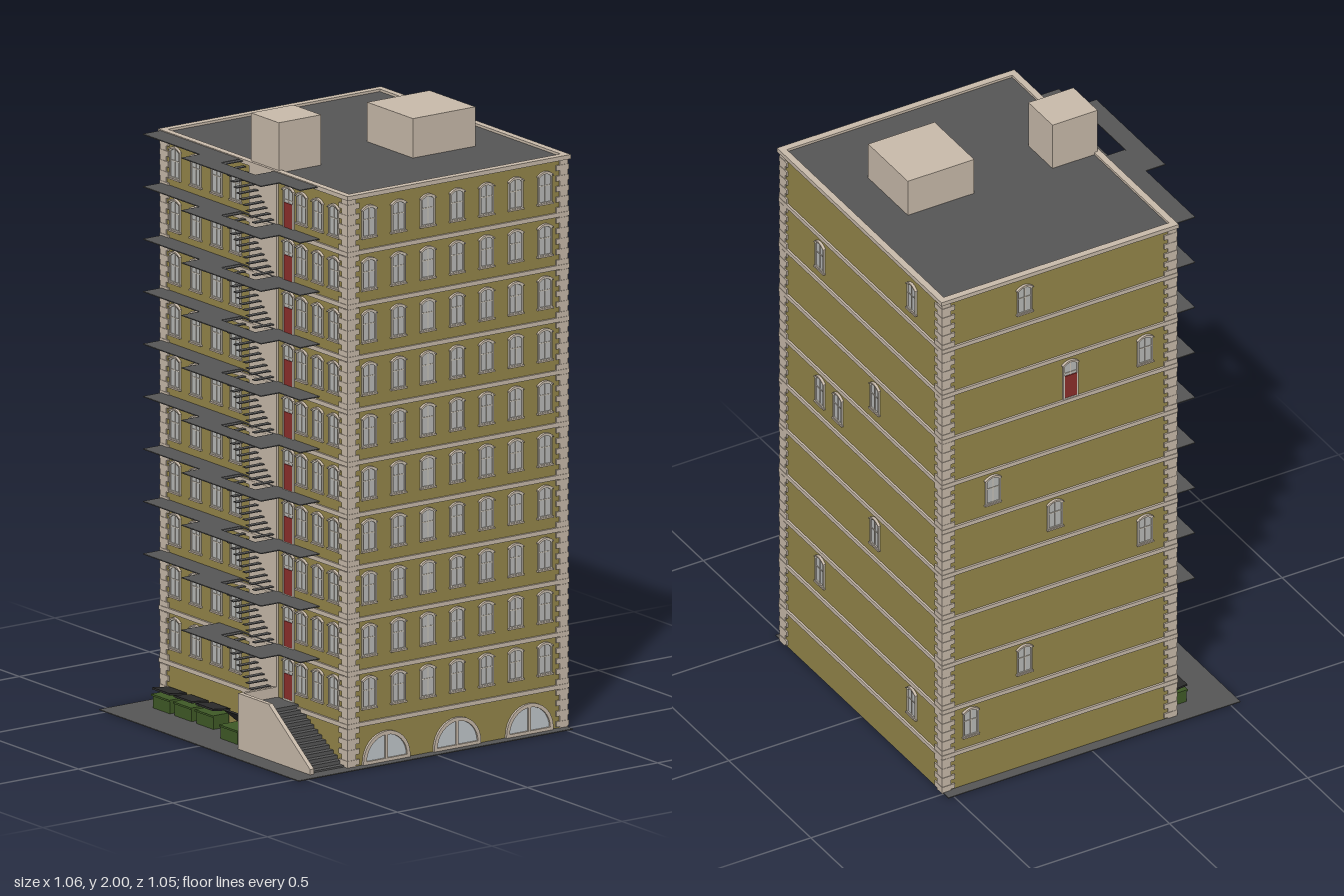
import * as THREE from 'three';
import { mergeGeometries } from 'three/addons/utils/BufferGeometryUtils.js';

const COLORS = { brick: 0x94864a, stone: 0xc8baaa, dark: 0x555555, glass: 0xb9bab8, frame: 0xcdc5b8,
  archGlass: 0xc0c6ca, door: 0x8c2f2b, green: 0x3f5a26, lid: 0x2b2b2b };
const X0 = -0.32, X1 = 0.52, Z0 = -0.494, Z1 = 0.49, H = 1.84;
const CX = (X0 + X1) / 2, CZ = (Z0 + Z1) / 2;
const FLOOR = 0.169, FLOORS = 10;
const windowY = (f) => 0.185 + (f - 1) * 0.1685;   // sill height of floor f
const level = (i) => 0.15 + i * FLOOR;             // fire escape levels

// Box from its minimum and maximum corners
function box(x0, x1, y0, y1, z0, z1) {
  return new THREE.BoxGeometry(x1 - x0, y1 - y0, z1 - z0)
    .translate((x0 + x1) / 2, (y0 + y1) / 2, (z0 + z1) / 2);
}

function extrude(shape, depth) {
  return new THREE.ExtrudeGeometry(shape, { depth, bevelEnabled: false, curveSegments: 8 });
}

// Opening with a slightly arched head, bottom centre at the origin
function archedShape(w, h, inset = 0, Type = THREE.Shape) {
  const a = w / 2 - inset, top = h - 0.009 - inset, s = new Type();
  s.moveTo(-a, inset);
  s.lineTo(a, inset);
  s.lineTo(a, top);
  s.quadraticCurveTo(0, top + 0.018, -a, top);
  s.closePath();
  return s;
}

function halfRing(outer, inner) {
  const s = new THREE.Shape();
  s.absarc(0, 0, outer, 0, Math.PI, false);
  if (inner) s.absarc(0, 0, inner, Math.PI, 0, true);
  s.closePath();
  return s;
}

export function createModel() {
  const model = new THREE.Group();

  // Joins a list of geometries into one named mesh
  function add(name, color, list) {
    const parts = list.map((g) => (g.index ? g.toNonIndexed() : g));
    const mesh = new THREE.Mesh(mergeGeometries(parts),
      new THREE.MeshStandardMaterial({ color: COLORS[color], side: THREE.DoubleSide }));
    mesh.name = name;
    model.add(mesh);
  }

  // Ground, walls, roof
  add('ground', 'dark', [box(-0.535, 0.52, 0, 0.003, -0.53, 0.525)]);
  add('walls', 'brick', [box(X0, X1, 0.002, 1.834, Z0, Z1)]);
  add('roof', 'dark', [box(X0 + 0.01, X1 - 0.01, 1.83, 1.838, Z0 + 0.01, Z1 - 0.01)]);
  add('roofHouses', 'stone', [
    box(-0.318, -0.155, 1.83, 2.0, -0.025, 0.122),
    box(0.125, 0.365, 1.83, 1.965, -0.02, 0.222)]);
  add('liftShaft', 'stone', [box(-0.326, -0.3, 0, 1.835, -0.025, 0.122)]);

  // String courses between floors, and the parapet rim
  const bands = [];
  for (let i = 0; i < FLOORS; i++) {
    const y = 0.136 + i * FLOOR;
    bands.push(box(X0 - 0.007, X1 + 0.007, y - 0.007, y + 0.007, Z0 - 0.007, Z1 + 0.007));
  }
  add('stringCourses', 'stone', bands);
  const rim = new THREE.Shape(), hole = new THREE.Path();
  const rect = (s, x0, x1, z0, z1) => s.moveTo(x0, -z0).lineTo(x1, -z0).lineTo(x1, -z1).lineTo(x0, -z1).closePath();
  rect(rim, X0 - 0.008, X1 + 0.01, Z0 - 0.01, Z1 + 0.01);
  rect(hole, X0 + 0.014, X1 - 0.012, Z0 + 0.014, Z1 - 0.014);
  rim.holes.push(hole);
  add('parapet', 'stone', [extrude(rim, 0.014).rotateX(-Math.PI / 2).translate(0, 1.832, 0)]);

  // Corner quoins: narrow post with wider blocks at a steady pitch
  const quoins = [];
  for (const sx of [-1, 1]) for (const sz of [-1, 1]) {
    const block = (size, out, y0, y1) => {
      const px = sx < 0 ? X0 - out : X1 + out - size, pz = sz < 0 ? Z0 - out : Z1 + out - size;
      quoins.push(box(px, px + size, y0, y1, pz, pz + size));
    };
    block(0.032, 0.004, 0, 1.834);
    for (let y = 0.008; y < 1.81; y += 0.0338) block(0.047, 0.0055, y, y + 0.017);
  }
  add('cornerQuoins', 'stone', quoins);

  // Windows and doors, gathered from all four faces
  const panes = [], frames = [], trims = [], doors = [];
  const W = 0.054, WH = 0.1;
  const faces = {
    front: (u) => [u, Z1, 0], right: (u) => [X1, u, Math.PI / 2],
    back: (u) => [u, Z0, Math.PI], left: (u) => [X0, u, -Math.PI / 2] };
  function opening(face, u, y, isDoor) {
    const [x, z, turn] = faces[face](u);
    const put = (list, g) => list.push(g.rotateY(turn).translate(x, y, z));
    const low = isDoor ? -0.038 : 0, h = WH - low;
    const ring = archedShape(W, h);
    ring.holes.push(archedShape(W, h, 0.005, THREE.Path));
    put(frames, extrude(ring, 0.006).translate(0, low, 0));
    put(panes, new THREE.ShapeGeometry(archedShape(W, h, 0.003)).translate(0, low, 0.002));
    put(frames, box(-0.0015, 0.0015, 0.004, WH - 0.004, 0, 0.004));
    put(frames, box(-W / 2, W / 2, 0.056, 0.059, 0, 0.004));
    // Arched hood over the head
    const hood = new THREE.Shape(), a = W / 2 + 0.003;
    hood.moveTo(-a, 0.087).quadraticCurveTo(0, 0.111, a, 0.087).lineTo(a, 0.091)
      .quadraticCurveTo(0, 0.117, -a, 0.091).closePath();
    put(trims, extrude(hood, 0.009));
    if (isDoor) put(doors, box(-W / 2 + 0.004, W / 2 - 0.004, low, 0.048, 0, 0.005));
    else put(trims, box(-a, a, -0.004, 0.001, 0, 0.009));
  }
  for (let f = 1; f <= FLOORS; f++) {
    for (let i = 0; i < 7; i++) opening('front', -0.24 + i * 0.1127, windowY(f));
    for (const z of [-0.42, -0.31, -0.2, -0.1, 0.25, 0.335, 0.42]) opening('left', z, windowY(f));
    opening('left', 0.18, windowY(f) + 0.004, true);
  }
  for (const [z, f] of [[-0.31, 10], [0.25, 9], [-0.085, 7], [0.25, 6], [0.14, 6], [-0.085, 4], [0.25, 2], [-0.31, 1]])
    opening('right', z, windowY(f));
  for (const [x, f] of [[0.225, 10], [-0.21, 8], [0.34, 6], [0.115, 5], [-0.21, 4], [0.225, 2], [0.42, 1]])
    opening('back', x, windowY(f));
  opening('back', 0.06, windowY(8), true);
  add('windowPanes', 'glass', panes);
  add('windowFrames', 'frame', frames);
  add('windowTrim', 'stone', trims);
  add('doors', 'door', doors);

  // Half-round ground floor windows
  const archGlass = [], archFrames = [];
  for (const x of [-0.175, 0.097, 0.375]) {
    archGlass.push(new THREE.ShapeGeometry(halfRing(0.085), 24).translate(x, 0.011, Z1 + 0.002));
    archFrames.push(extrude(halfRing(0.09, 0.078), 0.008).translate(x, 0.011, Z1),
      box(x - 0.005, x + 0.005, 0.011, 0.094, Z1, Z1 + 0.006),
      box(x - 0.09, x + 0.09, 0.003, 0.013, Z1, Z1 + 0.008));
  }
  add('archWindowGlass', 'archGlass', archGlass);
  add('archWindowFrames', 'stone', archFrames);

  // Fire escape: stepped platforms with a stair opening, and open treads
  const escape = [];
  for (let i = 1; i <= FLOORS; i++) {
    const back = i > 1 ? -0.49 : -0.19;
    const s = new THREE.Shape([[X0, back], [-0.395, back], [-0.395, -0.19], [-0.465, -0.19], [-0.465, 0.23],
      [-0.395, 0.23], [-0.395, 0.34], [X0, 0.34]].map(([x, z]) => new THREE.Vector2(x, -z)));
    const stairwell = new THREE.Path();
    rect(stairwell, -0.4, -0.328, -0.07, 0.11);
    s.holes.push(stairwell);
    escape.push(extrude(s, 0.003).rotateX(-Math.PI / 2).translate(0, level(i), 0));
    for (let t = 0; t < 11; t++) {
      const y = level(i - 1) + (t + 1) * FLOOR / 11, z = 0.11 - t * 0.18 / 11;
      escape.push(box(-0.4, -0.328, y - 0.0015, y + 0.0015, z - 0.0175, z));
    }
  }
  add('fireEscape', 'dark', escape);

  // Entrance stair with landing, sloped side wall and end wall
  const steps = [box(-0.455, X0, 0, 0.15, 0.115, 0.23)];
  for (let i = 0; i < 12; i++)
    steps.push(box(-0.452, X0, 0, 0.15 - (i + 1) * 0.0118, 0.23 + i * 0.0205, 0.2505 + i * 0.0205));
  add('entranceSteps', 'dark', steps);
  const side = new THREE.Shape([[0.11, 0], [0.49, 0], [0.49, 0.02], [0.27, 0.183], [0.11, 0.183]]
    .map(([z, y]) => new THREE.Vector2(-z, y)));
  add('entranceWalls', 'stone', [
    extrude(side, 0.015).rotateY(Math.PI / 2).translate(-0.465, 0, 0),
    box(-0.465, X0, 0, 0.183, 0.108, 0.12)]);

  // Waste bins along the side wall, the last one with its lid open
  const bins = [], lids = [];
  [[-0.36, -0.4], [-0.36, -0.285], [-0.36, -0.17], [-0.405, 0.02]].forEach(([x, z], i) => {
    bins.push(box(x - 0.03, x + 0.03, 0.003, 0.048, z - 0.045, z + 0.045),
      box(x - 0.034, x + 0.034, 0.042, 0.048, z - 0.048, z + 0.048));
    const lid = box(-0.066, 0, 0, 0.006, -0.047, 0.047);
    lids.push(lid.rotateZ(i === 3 ? -0.7 : -0.12).translate(x + 0.033, i === 3 ? 0.05 : 0.055, z));
  });
  add('wasteBins', 'green', bins);
  add('wasteBinLids', 'lid', lids);

  return model;
}
